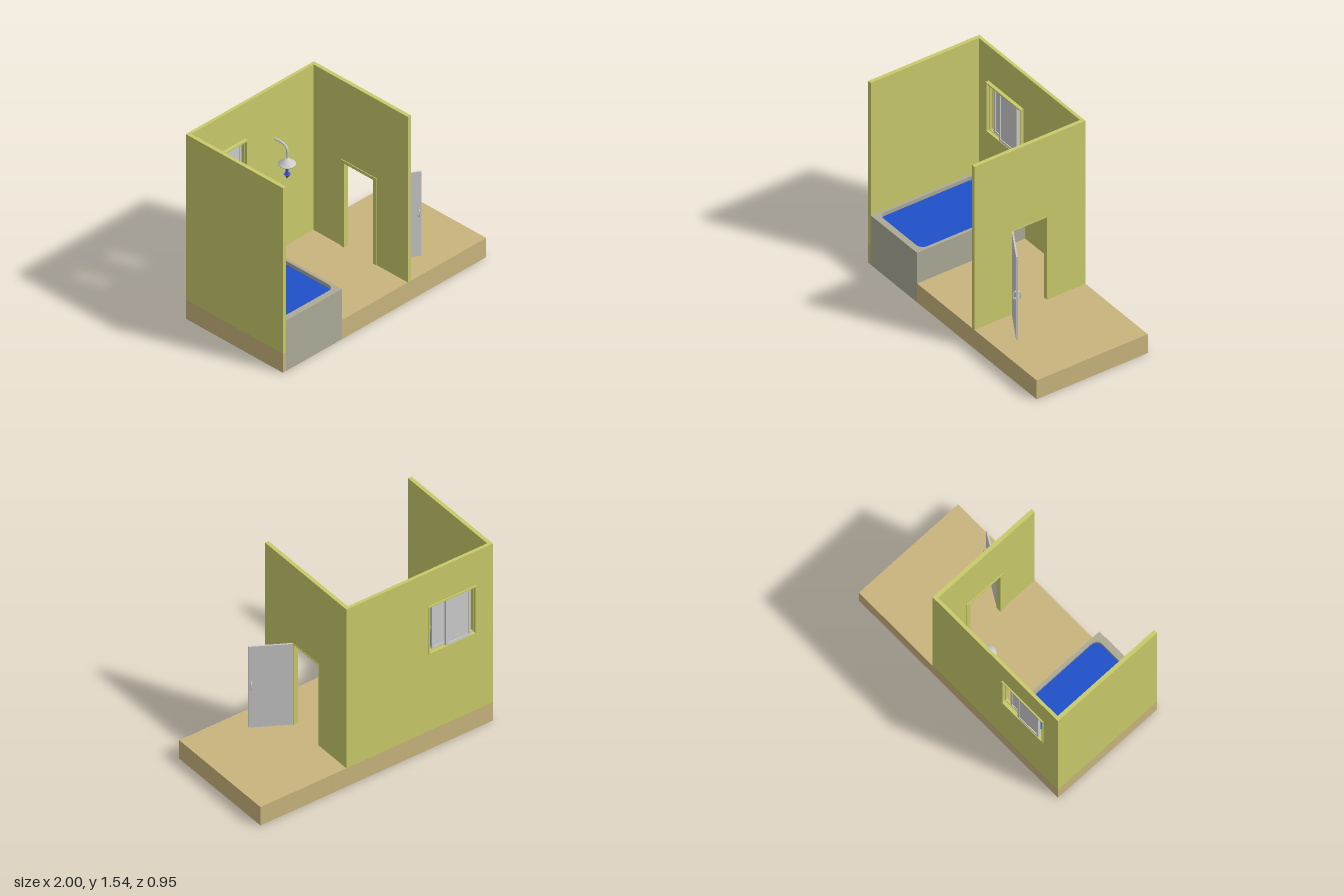
import * as THREE from 'three';

const mat = (color, extra = {}) => new THREE.MeshStandardMaterial({ color, ...extra });
const WALL = mat(0xc8ca6a), FLOOR = mat(0xc8b47c), TUB = mat(0xaca996);
const WATER = mat(0x2050c8), ARROW = mat(0x4054d8), GREY = mat(0xcccccc);

function add(parent, name, geometry, material) {
  const mesh = new THREE.Mesh(geometry, material);
  mesh.name = name;
  parent.add(mesh);
  return mesh;
}

// Box given by its minimum and maximum corners
function box(parent, name, [x0, y0, z0], [x1, y1, z1], material) {
  const mesh = add(parent, name, new THREE.BoxGeometry(x1 - x0, y1 - y0, z1 - z0), material);
  mesh.position.set((x0 + x1) / 2, (y0 + y1) / 2, (z0 + z1) / 2);
  return mesh;
}

const polygon = (pts) => new THREE.Shape(pts.map(([x, y]) => new THREE.Vector2(x, y)));
const rect = (x0, y0, x1, y1) => polygon([[x0, y0], [x1, y0], [x1, y1], [x0, y1]]);

function roundedRect(x0, y0, x1, y1, r) {
  const s = new THREE.Shape();
  s.absarc(x1 - r, y0 + r, r, -Math.PI / 2, 0);
  s.absarc(x1 - r, y1 - r, r, 0, Math.PI / 2);
  s.absarc(x0 + r, y1 - r, r, Math.PI / 2, Math.PI);
  s.absarc(x0 + r, y0 + r, r, Math.PI, Math.PI * 1.5);
  s.closePath();
  return s;
}

const extrude = (shape, depth) =>
  new THREE.ExtrudeGeometry(shape, { depth, bevelEnabled: false, curveSegments: 10 });

// Plan outline (x, -z) raised from y0 to y1
function slab(parent, name, shape, y0, y1, material) {
  const mesh = add(parent, name, extrude(shape, y1 - y0), material);
  mesh.rotation.x = -Math.PI / 2;
  mesh.position.y = y0;
  return mesh;
}

// Rectangular ring in the xy plane
function ring(parent, name, [x0, y0, x1, y1], t, z0, z1, material) {
  const s = rect(x0, y0, x1, y1);
  s.holes.push(rect(x0 + t, y0 + t, x1 - t, y1 - t));
  const mesh = add(parent, name, extrude(s, z1 - z0), material);
  mesh.position.z = z0;
  return mesh;
}

const BACK = -0.47, FRONT = 0.475, FLOOR_Y = 0.16, TOP = 1.545;

function makeWalls(root) {
  const walls = new THREE.Group();
  walls.name = 'walls';
  box(walls, 'bathSideWall', [-1, FLOOR_Y, BACK], [-0.97, TOP, FRONT], WALL);

  const back = rect(-0.97, FLOOR_Y, 0.23, TOP);
  back.holes.push(rect(-0.855, 0.83, -0.44, 1.25));
  add(walls, 'backWall', extrude(back, 0.025), WALL).position.z = BACK;

  // Drawn in (-z, y), then turned to face +x
  const side = polygon([[-FRONT, FLOOR_Y], [-0.15, FLOOR_Y], [-0.15, 0.87], [0.15, 0.87],
    [0.15, FLOOR_Y], [-BACK, FLOOR_Y], [-BACK, TOP], [-FRONT, TOP]]);
  const doorWall = add(walls, 'doorWall', extrude(side, 0.03), WALL);
  doorWall.rotation.y = Math.PI / 2;
  doorWall.position.x = 0.23;

  // Lining of the doorway and wider trim on the inner side
  const arch = (name, out, inn, top, x, depth) => {
    const s = polygon([[-out, FLOOR_Y], [-inn, FLOOR_Y], [-inn, 0.862], [inn, 0.862],
      [inn, FLOOR_Y], [out, FLOOR_Y], [out, top], [-out, top]]);
    const m = add(walls, name, extrude(s, depth), WALL);
    m.rotation.y = Math.PI / 2;
    m.position.x = x;
  };
  arch('doorLining', 0.152, 0.143, 0.871, 0.226, 0.037);
  arch('doorTrim', 0.174, 0.143, 0.885, 0.224, 0.007);
  root.add(walls);
}

function makeBath(root) {
  const bath = new THREE.Group();
  bath.name = 'bath';
  const basin = () => roundedRect(-0.945, -0.425, -0.445, 0.39, 0.055);
  const rim = rect(-0.97, -FRONT, -0.42, 0.445);
  rim.holes.push(basin());
  slab(bath, 'bathSides', rim, 0.1, 0.42, TUB);
  slab(bath, 'bathBase', rect(-0.97, -FRONT, -0.42, 0.445), 0, 0.1, TUB);
  slab(bath, 'water', basin(), 0.1, 0.39, WATER);
  root.add(bath);
}

function makeWindow(root) {
  const win = new THREE.Group();
  win.name = 'window';
  const outline = [-0.855, 0.83, -0.44, 1.25];
  ring(win, 'windowFrame', outline, 0.006, -0.48, -0.418, WALL);
  // Lips that form the two sliding tracks
  for (const z of [-0.48, -0.4515, -0.423]) ring(win, 'trackLip', outline, 0.011, z, z + 0.005, WALL);
  // Two overlapping sashes
  for (const [x, z] of [[-0.805, -0.473], [-0.705, -0.445]]) {
    ring(win, 'sashFrame', [x, 0.838, x + 0.21, 1.242], 0.016, z, z + 0.02, GREY);
    box(win, 'pane', [x + 0.015, 0.85, z + 0.007], [x + 0.195, 1.23, z + 0.013], GREY);
  }
  root.add(win);
}

function makeDoor(root) {
  const door = new THREE.Group();
  door.name = 'door';
  box(door, 'doorLeaf', [0, 0.163, -0.006], [0.312, 0.867, 0.006], GREY);
  // Pull handle on each face
  for (const side of [-1, 1]) {
    const p = (y, z) => new THREE.Vector3(0.293, y, side * z);
    const curve = new THREE.CatmullRomCurve3(
      [p(0.5, 0.005), p(0.5, 0.018), p(0.51, 0.025), p(0.545, 0.025), p(0.555, 0.018), p(0.555, 0.005)]);
    add(door, 'handle', new THREE.TubeGeometry(curve, 24, 0.005, 8), GREY);
    for (const y of [0.5, 0.555]) {
      const rose = add(door, 'handleRose', new THREE.CylinderGeometry(0.012, 0.012, 0.006, 16), GREY);
      rose.rotation.x = Math.PI / 2;
      rose.position.set(0.293, y, side * 0.008);
    }
  }
  door.position.set(0.26, 0, 0.15);
  door.rotation.y = -Math.PI / 6;
  root.add(door);
}

function makeShower(root) {
  const shower = new THREE.Group();
  shower.name = 'shower';
  const path = new THREE.CatmullRomCurve3([[1.104, -0.45], [1.104, -0.38], [1.095, -0.345], [1.07, -0.33], [0.99, -0.33]]
    .map(([y, z]) => new THREE.Vector3(0, y, z)));
  add(shower, 'showerPipe', new THREE.TubeGeometry(path, 32, 0.009, 12), GREY);
  const profile = [[0, 0.942], [0.055, 0.942], [0.063, 0.947], [0.063, 0.953], [0.018, 0.99], [0.009, 1.0], [0, 1.0]]
    .map(([r, y]) => new THREE.Vector2(r, y));
  add(shower, 'showerHead', new THREE.LatheGeometry(profile, 32), GREY).position.z = -0.33;
  // Arrow showing the flow of water
  add(shower, 'arrowShaft', new THREE.CylinderGeometry(0.011, 0.011, 0.055, 16), ARROW).position.set(0, 0.892, -0.33);
  const tip = add(shower, 'arrowTip', new THREE.ConeGeometry(0.024, 0.036, 16), ARROW);
  tip.rotation.x = Math.PI;
  tip.position.set(0, 0.847, -0.33);
  shower.position.x = -0.145;
  root.add(shower);
}

export function createModel() {
  const root = new THREE.Group();
  root.name = 'bathroom';
  // Floor slab wrapping round the bath on two sides
  slab(root, 'floor', polygon([[-1, -FRONT], [-0.97, -FRONT], [-0.97, 0.445], [-0.42, 0.445],
    [-0.42, -FRONT], [1, -FRONT], [1, -BACK], [-1, -BACK]]), 0, FLOOR_Y, FLOOR);
  makeWalls(root);
  makeBath(root);
  makeWindow(root);
  makeDoor(root);
  makeShower(root);
  return root;
}
